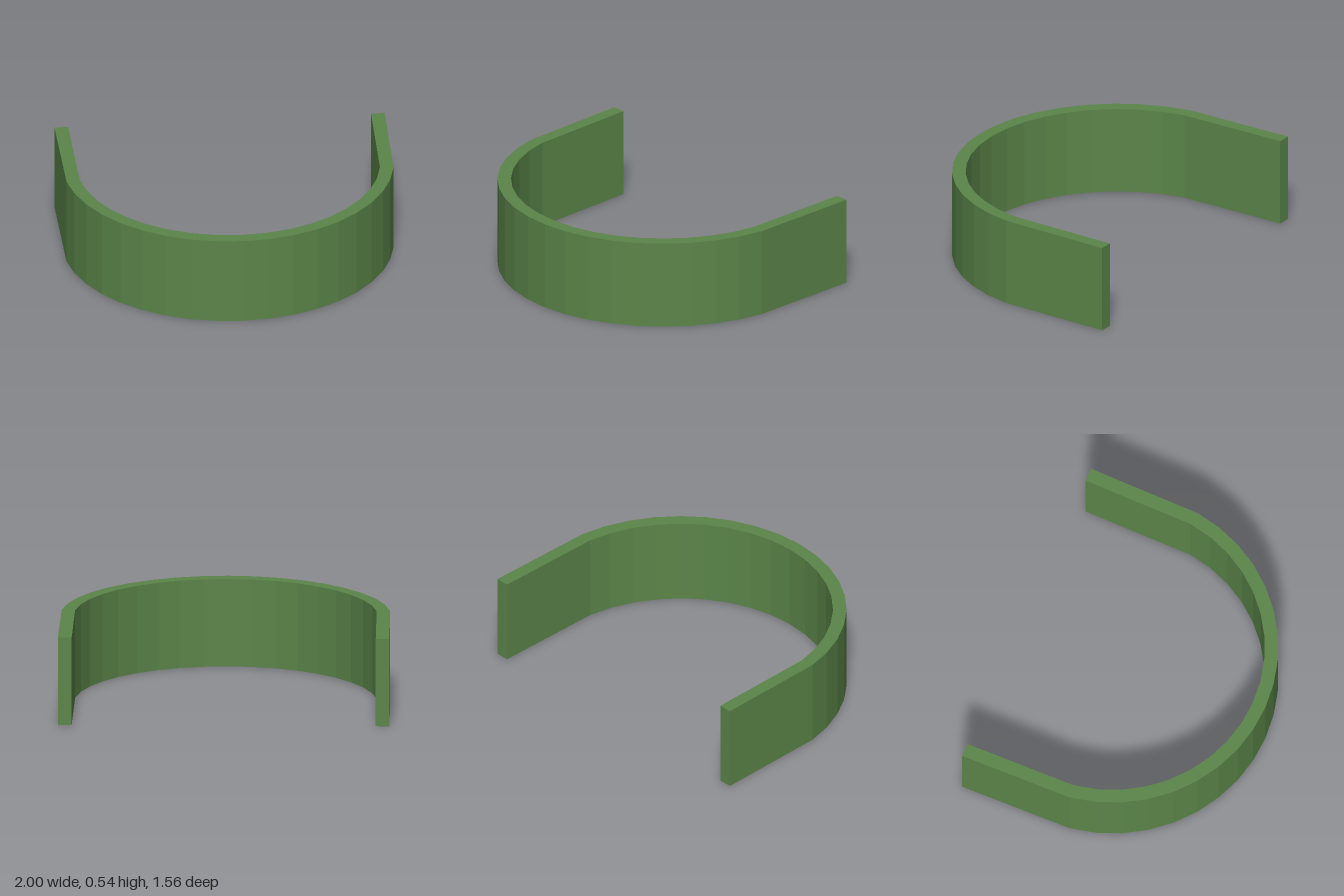
import * as THREE from 'three';

const HEIGHT = 0.543;
const BACK = -0.782;
const CENTRE_Z = -0.218;
const SEGMENTS = 18;
const HALF_ANGLE = THREE.MathUtils.degToRad(82);

// One edge of the band: straight arm, faceted arc, straight arm
function edge(radius, armX) {
  const points = [new THREE.Vector2(-armX, BACK)];
  for (let i = 0; i <= SEGMENTS; i++) {
    const a = HALF_ANGLE * (2 * i / SEGMENTS - 1);
    points.push(new THREE.Vector2(radius * Math.sin(a) - 0.003, CENTRE_Z + radius * Math.cos(a)));
  }
  points.push(new THREE.Vector2(armX, BACK));
  return points;
}

export function createModel() {
  const group = new THREE.Group();
  group.name = 'cuff';
  const green = new THREE.MeshStandardMaterial({ color: 0x5b8549, flatShading: true });
  green.name = 'leaf green';

  // Open U-shaped band, drawn in plan and raised to its height
  const plan = new THREE.Shape([...edge(1, 1), ...edge(0.918, 0.917).reverse()]);
  const geometry = new THREE.ExtrudeGeometry(plan, { depth: HEIGHT, bevelEnabled: false });
  geometry.rotateX(Math.PI / 2);
  geometry.translate(0, HEIGHT, 0);

  const band = new THREE.Mesh(geometry, green);
  band.name = 'curvedBand';
  group.add(band);
  return group;
}
